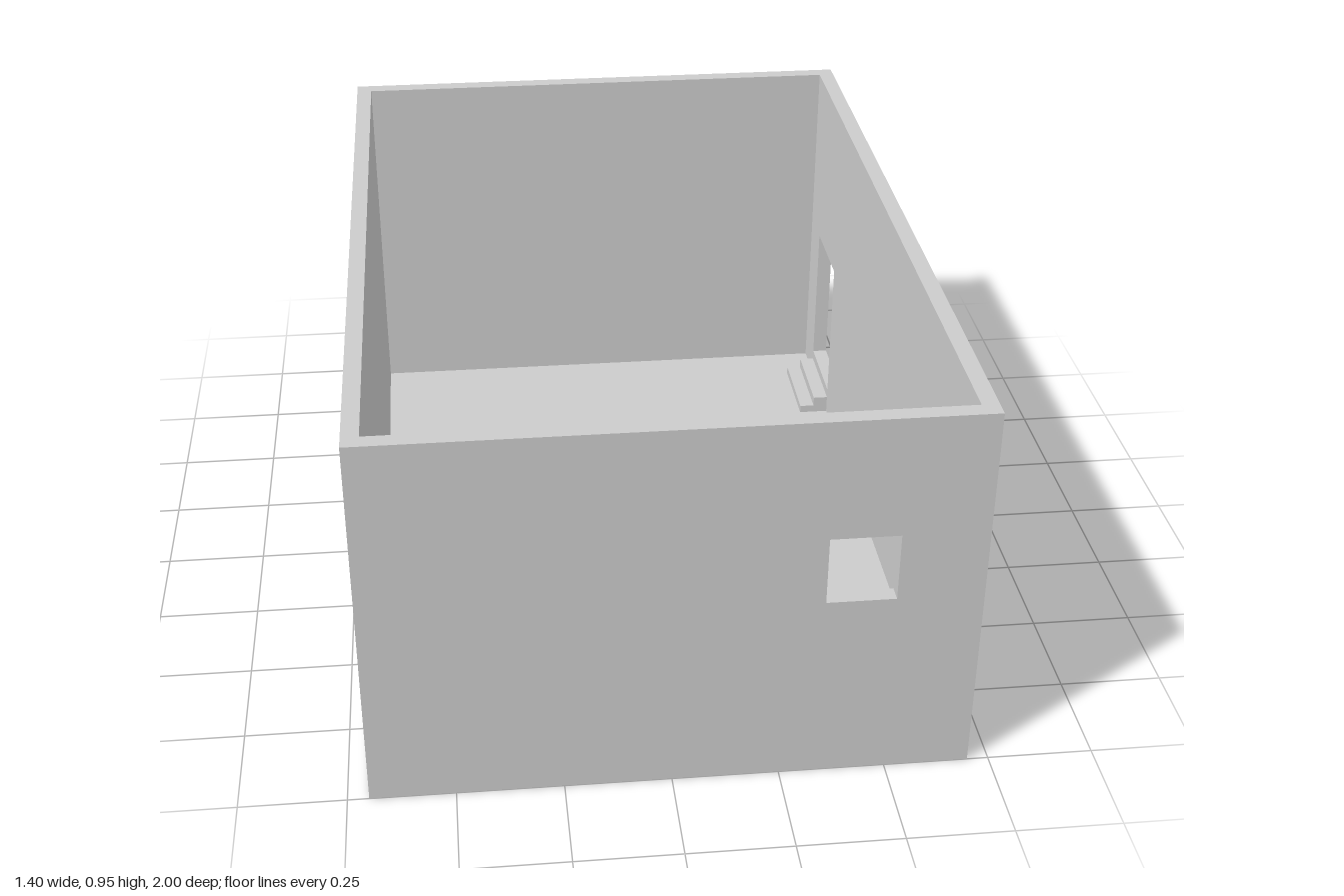
import * as THREE from 'three';

const W = 1.4, H = 0.95, D = 2, T = 0.04; // outer size and wall thickness
const FLOOR = 0.005;
const material = new THREE.MeshStandardMaterial({ color: 0xcccccc, flatShading: true });

function trace(path, x0, y0, x1, y1) {
  path.moveTo(x0, y0);
  path.lineTo(x1, y0);
  path.lineTo(x1, y1);
  path.lineTo(x0, y1);
  path.closePath();
  return path;
}

// Upright wall panel of the given length, with an optional opening [x0, y0, x1, y1]
function wall(name, length, opening) {
  const shape = trace(new THREE.Shape(), -length / 2, 0, length / 2, H);
  if (opening) shape.holes.push(trace(new THREE.Path(), ...opening));
  const geometry = new THREE.ExtrudeGeometry(shape, { depth: T, bevelEnabled: false });
  const mesh = new THREE.Mesh(geometry, material);
  mesh.name = name;
  return mesh;
}

function box(name, w, h, d, x, y, z) {
  const mesh = new THREE.Mesh(new THREE.BoxGeometry(w, h, d), material);
  mesh.position.set(x, y, z);
  mesh.name = name;
  return mesh;
}

export function createModel() {
  const room = new THREE.Group();
  room.name = 'room';

  // Front wall with the window, plain back wall
  const front = wall('frontWall', W, [0.34, 0.48, 0.5, 0.65]);
  front.position.z = D / 2 - T;
  const back = wall('backWall', W);
  back.position.z = -D / 2;

  // Left wall with the doorway, plain right wall (panel x runs towards -z)
  const left = wall('leftWall', D - 2 * T, [0.6, 0.08, 0.84, 0.48]);
  left.rotation.y = Math.PI / 2;
  left.position.x = W / 2 - T;
  const right = wall('rightWall', D - 2 * T);
  right.rotation.y = Math.PI / 2;
  right.position.x = -W / 2;

  room.add(front, back, left, right);
  room.add(box('floor', W - 2 * T, FLOOR, D - 2 * T, 0, FLOOR / 2, 0));

  // Two steps leading down from the door sill
  const tread = 0.04, rise = 0.08 / 3;
  for (let i = 0; i < 2; i++) {
    const h = rise * (2 - i);
    room.add(box(`doorStep${i + 1}`, tread, h, 0.24, W / 2 - T - tread * (i + 0.5), h / 2, -0.72));
  }
  return room;
}
